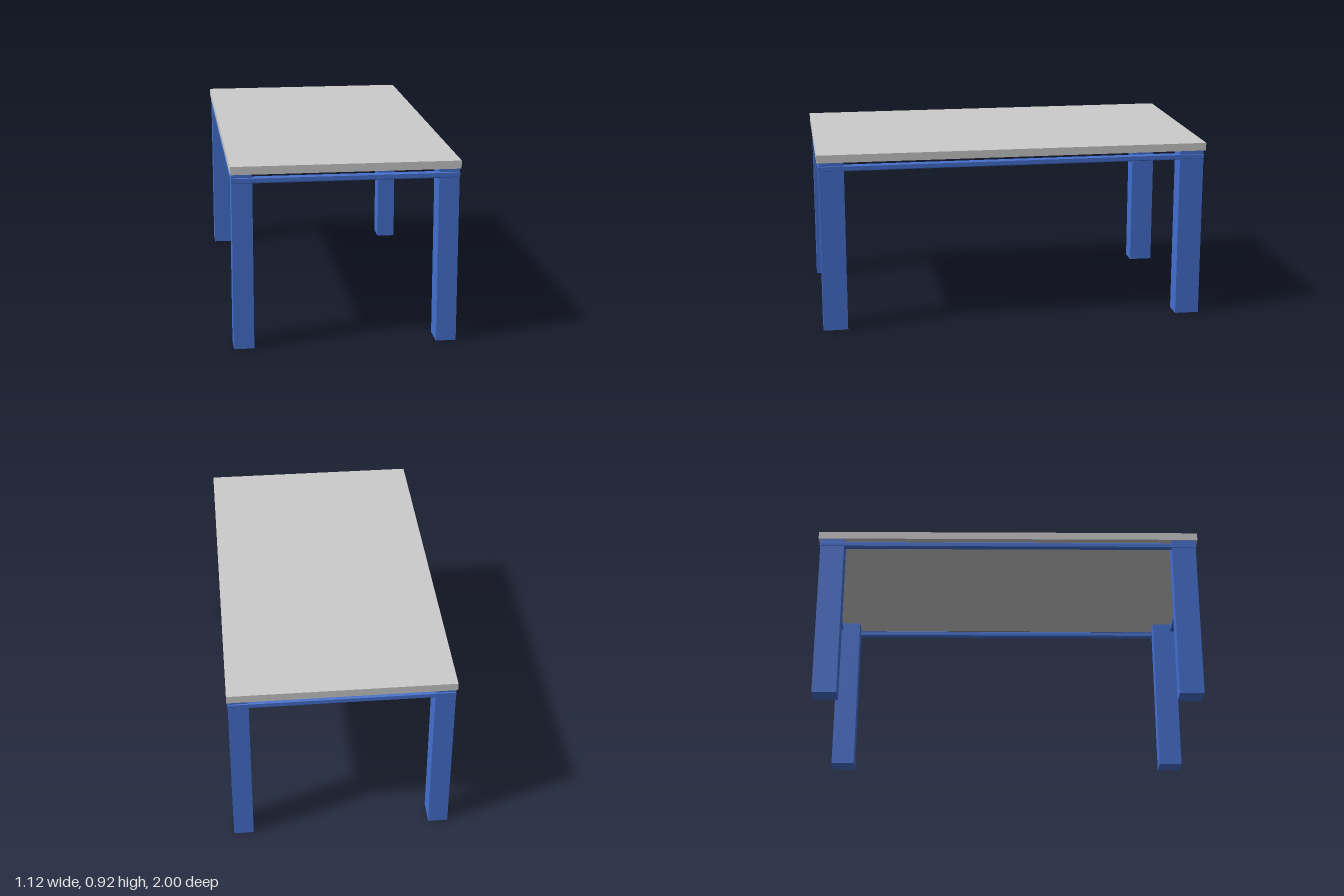
import * as THREE from 'three';

const grey = new THREE.MeshStandardMaterial({ color: 0xcccccc, flatShading: true });
const blue = new THREE.MeshStandardMaterial({ color: 0x4470d0, flatShading: true });

const TOP = { w: 1.116, h: 0.04, d: 2, y: 0.88 };
const LEG = { w: 0.1, d: 0.125, x: 0.502, z: 0.927 };
const RAIL = { size: 0.03, bevel: 0.005, y: 0.849, x: 0.554, z: 0.993 };

function box(name, w, h, d, x, y, z, material) {
  const mesh = new THREE.Mesh(new THREE.BoxGeometry(w, h, d), material);
  mesh.name = name;
  mesh.position.set(x, y, z);
  return mesh;
}

// Square bar with chamfered long edges, centred and running along z
function railGeometry(length) {
  const a = RAIL.size / 2, b = a - RAIL.bevel;
  const section = new THREE.Shape([
    [a, -b], [a, b], [b, a], [-b, a], [-a, b], [-a, -b], [-b, -a], [b, -a],
  ].map(([x, y]) => new THREE.Vector2(x, y)));
  return new THREE.ExtrudeGeometry(section, { depth: length, bevelEnabled: false })
    .translate(0, 0, -length / 2);
}

export function createModel() {
  const table = new THREE.Group();
  table.name = 'table';

  // Flat slab on top
  table.add(box('tabletop', TOP.w, TOP.h, TOP.d, 0, TOP.y + TOP.h / 2, 0, grey));

  // Four straight legs reaching the underside of the slab
  for (const [sx, side] of [[1, 'Left'], [-1, 'Right']]) {
    for (const [sz, end] of [[1, 'front'], [-1, 'back']]) {
      table.add(box(`${end}${side}Leg`, LEG.w, TOP.y, LEG.d, sx * LEG.x, TOP.y / 2, sz * LEG.z, blue));
    }
  }

  // Rail frame, standing just proud of the legs and a little below the slab
  const inset = RAIL.size / 2;
  const longRail = railGeometry(2 * RAIL.z - 0.006);
  const shortRail = railGeometry(2 * RAIL.x - 0.006).rotateY(Math.PI / 2);
  for (const s of [1, -1]) {
    const side = new THREE.Mesh(longRail, blue);
    side.name = s > 0 ? 'leftRail' : 'rightRail';
    side.position.set(s * (RAIL.x - inset), RAIL.y, 0);

    const end = new THREE.Mesh(shortRail, blue);
    end.name = s > 0 ? 'frontRail' : 'backRail';
    end.position.set(0, RAIL.y, s * (RAIL.z - inset));
    table.add(side, end);
  }
  return table;
}
